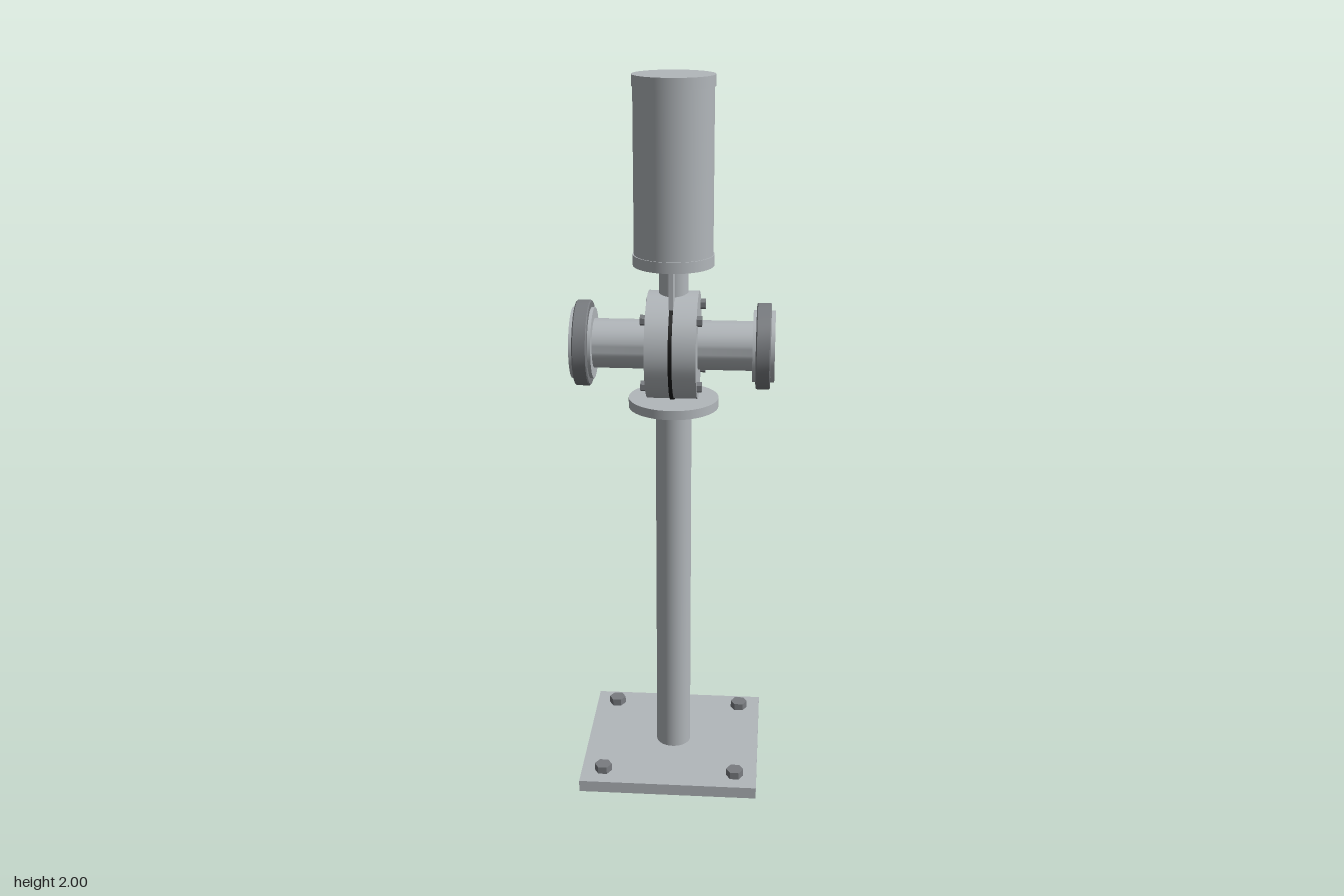
import * as THREE from 'three';
import { toCreasedNormals } from 'three/addons/utils/BufferGeometryUtils.js';

const material = (name, color) => {
  const m = new THREE.MeshStandardMaterial({ color });
  m.name = name;
  return m;
};

export function createModel() {
  const steel = material('steel', 0xb2b7bb);
  const dark = material('dark steel', 0x797c80);
  const black = material('gasket black', 0x181818);
  const blue = material('cable blue', 0x2f70b5);
  const model = new THREE.Group();
  model.name = 'valveOnStand';
  const axisY = 1.277; // height of the pipe axis

  const add = (name, geometry, mat, x = 0, y = 0, z = 0, parent = model) => {
    const mesh = new THREE.Mesh(geometry, mat);
    mesh.name = name;
    mesh.position.set(x, y, z);
    parent.add(mesh);
    return mesh;
  };
  const box = (w, h, d) => new THREE.BoxGeometry(w, h, d);
  const disc = (r, h, sides = 48) => new THREE.CylinderGeometry(r, r, h, sides);
  // Turned part with crisp edges; profile is [radius, height]
  const turned = (profile) => toCreasedNormals(
    new THREE.LatheGeometry(profile.map(([r, h]) => new THREE.Vector2(r, h)), 48), 0.5);
  const alongX = (geometry) => geometry.rotateZ(-Math.PI / 2);
  // Hexagonal bolt head with a corner pointing along x
  const hex = (r, h) => toCreasedNormals(disc(r, h, 6).rotateY(Math.PI / 2), 0.5);

  // Stand
  add('basePlate', box(0.51, 0.034, 0.51), steel, 0, 0.017);
  for (const x of [-0.192, 0.192]) {
    for (const z of [-0.192, 0.192]) add('anchorBolt', hex(0.025, 0.022), dark, x, 0.044, z);
  }
  add('column', disc(0.05, 1.07), steel, 0, 0.568);
  add('columnFlange', disc(0.125, 0.026), steel, 0, 1.113);

  // Valve body: two halves around a gasket
  const valve = new THREE.Group();
  valve.name = 'valve';
  valve.position.y = axisY;
  model.add(valve);
  add('gasket', alongX(disc(0.152, 0.01)), black, 0, 0, 0, valve);

  for (const s of [-1, 1]) {
    add('bodyHalf', alongX(disc(0.148, 0.064)), steel, s * 0.037, 0, 0, valve);
    for (const y of [-0.092, 0.092]) {
      for (const z of [-0.092, 0.092]) {
        add('bodyBolt', alongX(hex(0.015, 0.016)), dark, s * 0.075, y, z, valve);
      }
    }

    // Pipe stub with ferrule, bored through to the body face
    const stub = turned([
      [0.068, 0.06], [0.068, 0.218], [0.098, 0.218], [0.098, 0.278],
      [0.06, 0.278], [0.06, 0.06],
    ]);
    const pipe = add('pipeStub', alongX(stub), steel, 0, 0, 0, valve);
    if (s < 0) pipe.rotation.y = Math.PI;

    // Clamp ring, lug and handle
    const ring = turned([
      [0.095, -0.02], [0.115, -0.02], [0.118, -0.017], [0.118, 0.017],
      [0.115, 0.02], [0.095, 0.02], [0.095, -0.02],
    ]);
    add('clampRing', alongX(ring), dark, s * 0.247, 0, 0, valve);
    add('clampLug', box(0.035, 0.055, 0.043), dark, s * 0.247, 0, -0.1235, valve);
    add('clampHandle', box(0.015, 0.03, 0.06), dark, s * 0.247, 0, -0.17, valve);
  }

  // Neck with a thin stiffening web
  add('neck', disc(0.04, 0.1), steel, 0, 1.455);
  add('neckWeb', box(0.012, 0.1, 0.216), steel, 0, 1.452);

  // Actuator housing with slightly larger end caps
  add('actuator', disc(0.107, 0.46, 64), steel, 0, 1.75);
  for (const y of [1.515, 1.985]) add('actuatorCap', disc(0.11, 0.03, 64), steel, 0, y);

  // Cable leaving the back and turning down
  const v = (y, z) => new THREE.Vector3(0, y, z);
  const path = new THREE.CurvePath();
  path.add(new THREE.LineCurve3(v(1.9, -0.1), v(1.9, -0.137)));
  path.add(new THREE.QuadraticBezierCurve3(v(1.9, -0.137), v(1.9, -0.166), v(1.871, -0.166)));
  path.add(new THREE.LineCurve3(v(1.871, -0.166), v(1.8, -0.166)));
  add('cable', new THREE.TubeGeometry(path, 32, 0.012, 16), blue);
  add('cableEnd', disc(0.012, 0.004, 16), blue, 0, 1.802, -0.166);

  return model;
}
